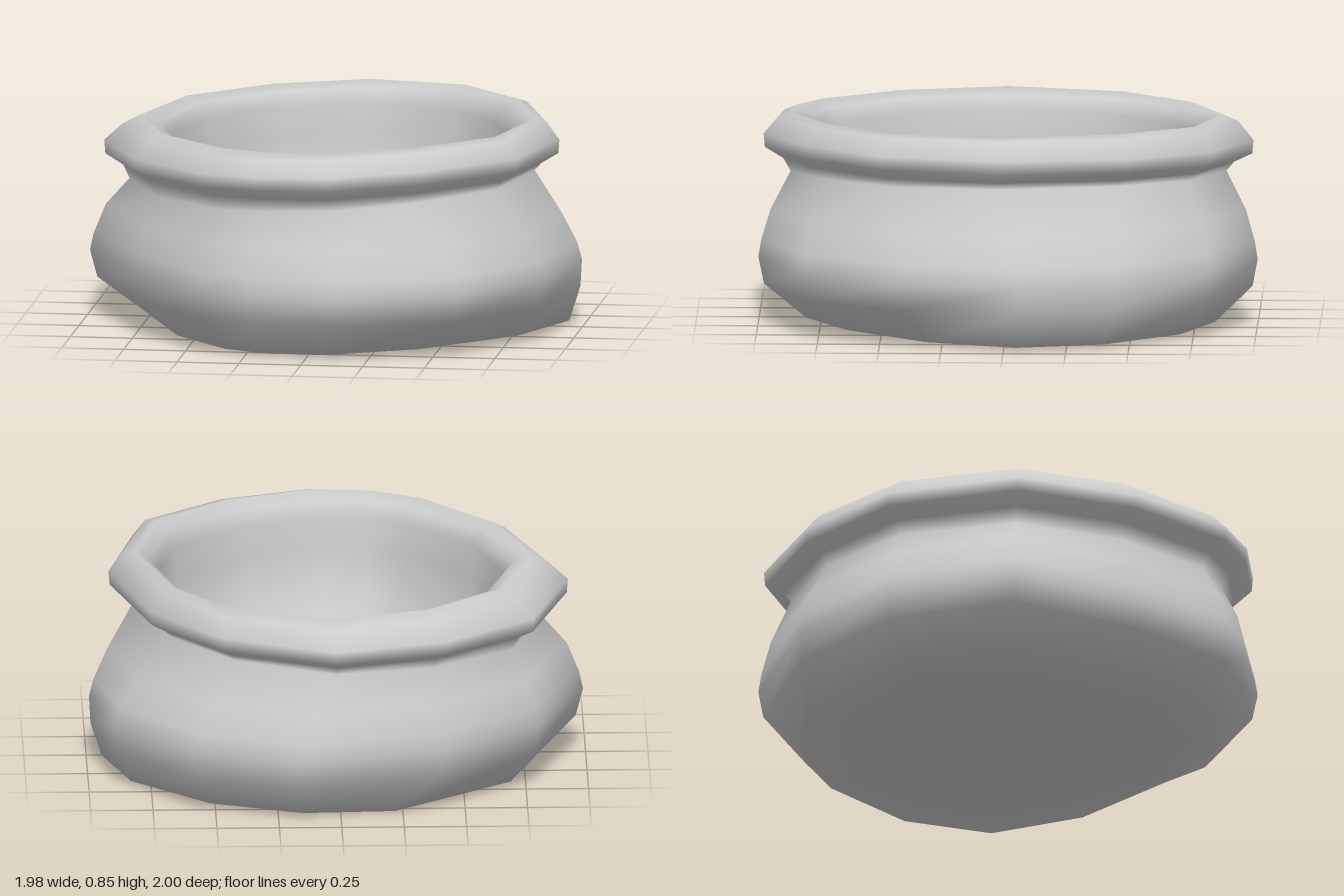
import * as THREE from 'three';

// Irregular 13-sided outlines as [x, z], starting at the back and passing the +x side
const mouth = [[0.02, -0.76], [0.38, -0.69], [0.6, -0.39], [0.72, 0.02], [0.63, 0.4], [0.36, 0.65], [0.04, 0.78],
  [-0.15, 0.77], [-0.3, 0.68], [-0.56, 0.4], [-0.67, 0.02], [-0.56, -0.38], [-0.3, -0.64]];
const lip = [[0.02, -0.98], [0.47, -0.82], [0.75, -0.5], [0.91, 0.02], [0.8, 0.5], [0.47, 0.81], [0.1, 0.98],
  [-0.2, 0.95], [-0.42, 0.86], [-0.74, 0.5], [-0.93, 0.02], [-0.78, -0.5], [-0.42, -0.82]];
const belly = [[0.16, -1], [0.59, -0.82], [0.9, -0.44], [0.99, -0.06], [0.9, 0.41], [0.62, 0.82], [0.15, 1],
  [-0.2, 0.95], [-0.43, 0.87], [-0.73, 0.51], [-0.99, 0], [-0.8, -0.5], [-0.42, -0.84]];
const base = [[0.15, -0.83], [0.52, -0.7], [0.83, -0.4], [0.94, -0.05], [0.78, 0.31], [0.43, 0.64], [0.07, 0.81],
  [-0.2, 0.78], [-0.35, 0.7], [-0.58, 0.42], [-0.75, -0.02], [-0.69, -0.4], [-0.22, -0.8]];

// One ring: blend of two outlines, scaled, at a height that may tilt along x and z
function ring(a, b, t, scale, y, tiltX = 0, tiltZ = 0) {
  return a.map(([x, z], i) => {
    const px = THREE.MathUtils.lerp(x, b[i][0], t) * scale;
    const pz = THREE.MathUtils.lerp(z, b[i][1], t) * scale;
    return [px, y + px * tiltX + pz * tiltZ, pz];
  });
}

// Smooth skin through a stack of rings
function skin(name, rings) {
  const n = rings[0].length;
  const index = [];
  for (let r = 0; r < rings.length - 1; r++) {
    for (let i = 0; i < n; i++) {
      const a = r * n + i, b = r * n + (i + 1) % n;
      index.push(a, a + n, b, b, a + n, b + n);
    }
  }
  const geometry = new THREE.BufferGeometry();
  geometry.setAttribute('position', new THREE.Float32BufferAttribute(rings.flat(2), 3));
  geometry.setIndex(index);
  geometry.computeVertexNormals();
  const mesh = new THREE.Mesh(geometry,
    new THREE.MeshStandardMaterial({ color: 0xcccccc, side: THREE.DoubleSide }));
  mesh.name = name;
  return mesh;
}

export function createModel() {
  const group = new THREE.Group();
  group.name = 'openSack';

  // Sagging outer body, from the underside up to the pinched neck
  const body = [
    ring(base, base, 0, 0, 0.005),
    ring(base, base, 0, 0.6, 0.005),
    ring(base, base, 0, 1, 0.012, 0.009),
    ring(base, belly, 0.88, 1, 0.16),
    ring(belly, belly, 0, 1, 0.27),
    ring(belly, lip, 0.1, 0.99, 0.34),
    ring(belly, lip, 0.45, 0.96, 0.46),
    ring(lip, lip, 0, 0.89, 0.605, 0.045),
  ];

  // Rolled rim, dipping toward -x
  const rim = [
    ring(lip, lip, 0, 0.92, 0.65, 0.025, 0.01),
    ring(lip, lip, 0, 0.995, 0.69, 0.025, 0.015),
    ring(lip, lip, 0, 1, 0.745, 0.025, 0.015),
    ring(mouth, lip, 0.72, 1, 0.815, 0.03, 0.01),
    ring(mouth, lip, 0.45, 1, 0.838, 0.015, 0.005),
    ring(mouth, lip, 0.18, 1, 0.81, 0.01),
    ring(mouth, lip, 0.02, 1, 0.75),
  ];

  // Rounded bowl inside
  const bowl = [
    ring(mouth, mouth, 0, 1, 0.62),
    ring(mouth, mouth, 0, 0.95, 0.44),
    ring(mouth, mouth, 0, 0.8, 0.27),
    ring(mouth, mouth, 0, 0.55, 0.14),
    ring(mouth, mouth, 0, 0.28, 0.08),
    ring(mouth, mouth, 0, 0, 0.06),
  ];

  // A single skin keeps the fold from body to rim to bowl smooth
  group.add(skin('sackSkin', [...body, ...rim, ...bowl]));
  return group;
}
